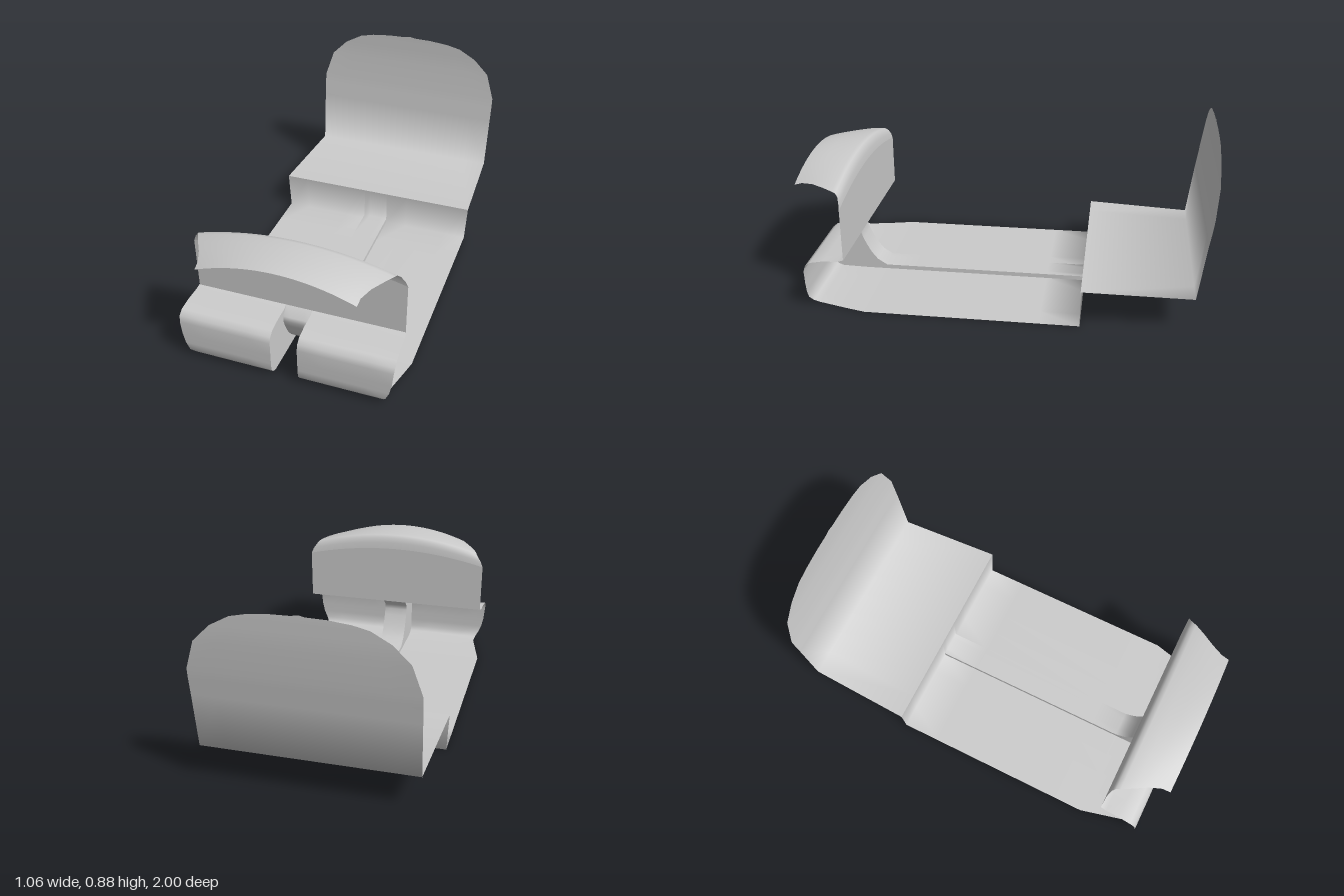
import * as THREE from 'three';

const material = new THREE.MeshStandardMaterial({ color: 0xcccccc, side: THREE.DoubleSide });

// Skin a smooth sheet over rows of equally many [x, y, z] points.
function sheet(name, rows) {
  const n = rows[0].length, index = [];
  for (let r = 0; r < rows.length - 1; r++) {
    for (let c = 0; c < n - 1; c++) {
      const a = r * n + c, b = a + n;
      index.push(a, a + 1, b, a + 1, b + 1, b);
    }
  }
  const g = new THREE.BufferGeometry();
  g.setAttribute('position', new THREE.Float32BufferAttribute(rows.flat(2), 3));
  g.setIndex(index);
  g.computeVertexNormals();
  const mesh = new THREE.Mesh(g, material);
  mesh.name = name;
  return mesh;
}

// Row of n + 1 points from x0 to x1 at depth z; y may be a function of x.
function row(x0, x1, y, z, n = 1) {
  return Array.from({ length: n + 1 }, (_, i) => {
    const x = x0 + (x1 - x0) * i / n;
    return [x, typeof y === 'function' ? y(x) : y, z];
  });
}

export function createModel() {
  const model = new THREE.Group();
  model.name = 'cabinShell';
  const tunnelHalf = 0.065, rearZ = -0.4;

  // Floor and footwell profile: [z, y, half width], from the rear step to the lip under the dash
  const footwell = [
    [0.65, 0, 0.52], [0.75, 0, 0.495], [0.89, 0.003, 0.46], [0.92, 0.015, 0.465], [0.938, 0.04, 0.48],
    [0.94, 0.08, 0.497], [0.94, 0.13, 0.508], [0.94, 0.2, 0.515], [0.93, 0.23, 0.518], [0.905, 0.25, 0.518],
    [0.84, 0.261, 0.515], [0.77, 0.262, 0.513], [0.74, 0.27, 0.51],
  ];
  const floor = [[rearZ, 0.19, 0.53], [rearZ, 0, 0.52], [-0.2, 0, 0.52], [0.5, 0, 0.52], ...footwell];

  // Centre tunnel profile: [z, y]
  const tunnelRise = [[0.65, 0.022], [0.7, 0.053], [0.73, 0.092], [0.75, 0.128], [0.77, 0.17],
    [0.782, 0.205], [0.78, 0.232], [0.74, 0.27]];
  const tunnel = [[rearZ, 0.19], [rearZ, 0.022], [-0.2, 0.022], [0.5, 0.022], ...tunnelRise];

  const wallShape = new THREE.Shape([
    [rearZ, 0], ...footwell, ...tunnelRise.slice(0, -1).reverse(), [rearZ, 0.022],
  ].map(([z, y]) => new THREE.Vector2(-z, y)));

  for (const side of [1, -1]) {
    const label = side > 0 ? 'left' : 'right';
    model.add(sheet(label + 'FloorAndFootwell', floor.map(([z, y, w]) =>
      side > 0 ? row(tunnelHalf, w, y, z, 4) : row(-w, -tunnelHalf, y, z, 4))));
    const wall = new THREE.Mesh(new THREE.ShapeGeometry(wallShape), material);
    wall.name = label + 'TunnelWall';
    wall.rotation.y = Math.PI / 2;
    wall.position.x = side * tunnelHalf;
    model.add(wall);
  }
  model.add(sheet('centreTunnel', tunnel.map(([z, y]) => row(-tunnelHalf, tunnelHalf, y, z, 4))));

  // Rear shelf running into the rounded back wall: [z, y, half width]
  const back = [
    [rearZ, 0.19, 0.53], [-0.93, 0.175, 0.505], [-0.965, 0.45, 0.509], [-0.977, 0.53, 0.51],
    [-0.983, 0.58, 0.51], [-0.997, 0.72, 0.465], [-0.999, 0.8, 0.385], [-1, 0.85, 0.295],
    [-1, 0.867, 0.22], [-1, 0.877, 0.12], [-1, 0.879, 0.03], [-1, 0.885, 0.002],
  ];
  model.add(sheet('rearShelfAndBackWall', back.map(([z, y, w]) => row(-w, w, y, z, 8))));

  // Arched dash cover rolling over into its panel: [z, centre y, edge y, half width]
  const dash = [
    [1, 0.663, 0.59, 0.367], [0.96, 0.67, 0.602, 0.37], [0.9, 0.674, 0.61, 0.395], [0.84, 0.675, 0.61, 0.43],
    [0.785, 0.675, 0.605, 0.46], [0.765, 0.671, 0.6, 0.468], [0.752, 0.657, 0.585, 0.48],
    [0.744, 0.63, 0.56, 0.497], [0.74, 0.595, 0.53, 0.51],
  ].map(([z, c, e, w]) => row(-w, w, x => c + (e - c) * (x / w) ** 2, z, 20));
  model.add(sheet('dashCover', dash));
  model.add(sheet('dashPanel', [dash[dash.length - 1], row(-0.508, 0.508, 0.268, 0.74, 20)]));

  return model;
}
